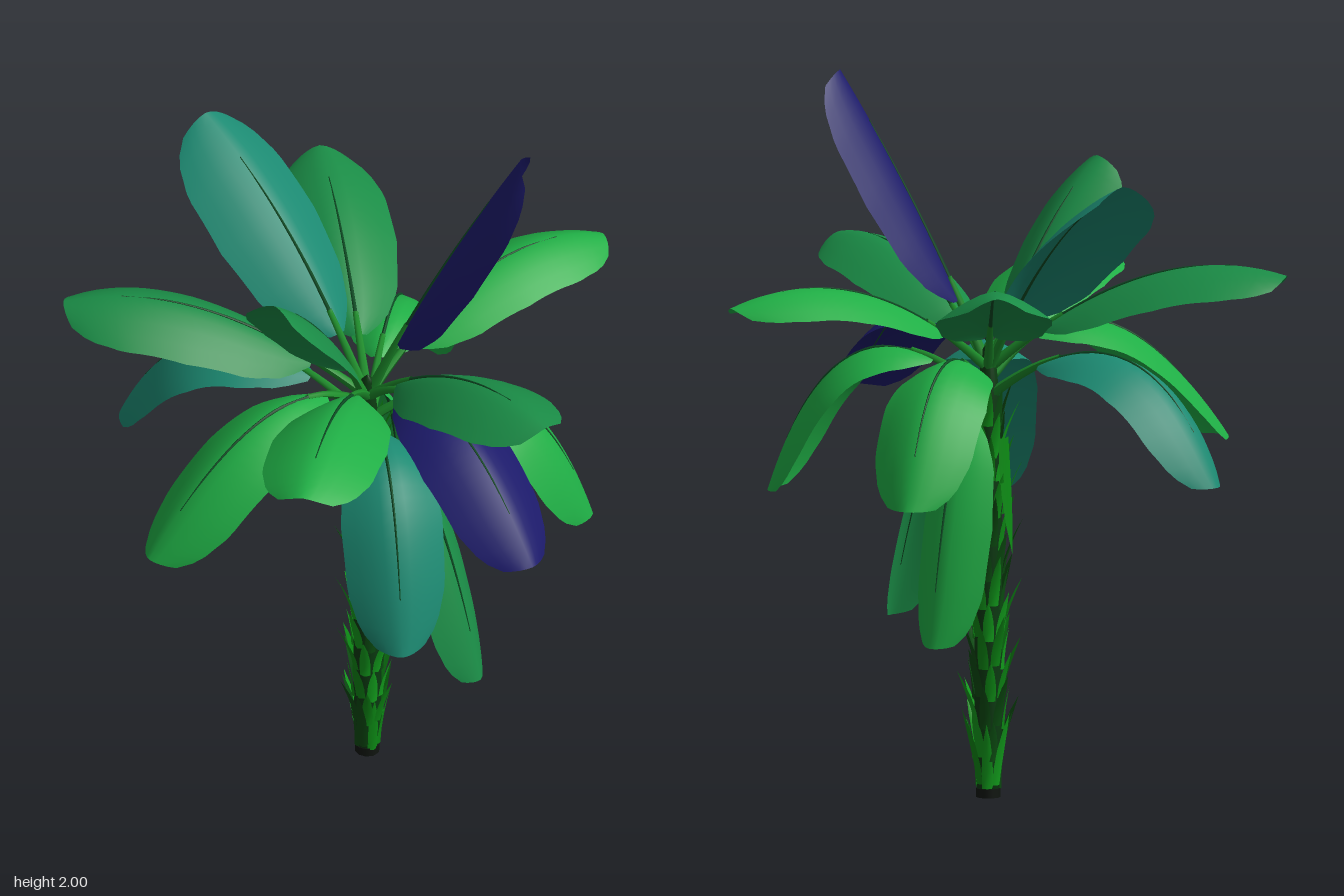
import * as THREE from 'three';

const CX = -0.025, CZ = -0.015; // trunk axis
const UP = new THREE.Vector3(0, 1, 0);
const GREEN = 0x1fae45, MID = 0x1a8c46, TEAL = 0x1c8a72, INDIGO = 0x1c1a6a;

const paint = (color) => new THREE.MeshStandardMaterial({ color, side: THREE.DoubleSide });
const ribPaint = paint(0x0b4a22);
const stalkPaint = paint(0x1c8c2a);
const huskPaints = [paint(0x0c8a14), paint(0x0a4c10), paint(0x12a01c)];
const barkPaint = paint(0x0a3a10);

// Outline of a blade: [position along it, share of the half width]
const OUTLINE = [[0, 0.15], [0.08, 0.55], [0.23, 0.85], [0.5, 1], [0.78, 0.96], [0.93, 0.76], [1, 0.48]];

function widthAt(t) {
  const i = Math.max(1, OUTLINE.findIndex(([at]) => t <= at));
  const [a, wa] = OUTLINE[i - 1], [b, wb] = OUTLINE[i];
  return THREE.MathUtils.mapLinear(t, a, b, wa, wb);
}

function add(group, name, geometry, material) {
  const mesh = new THREE.Mesh(geometry, material);
  mesh.name = name;
  group.add(mesh);
  return mesh;
}

// Arching blade: a plane bent along the curve, with drooping edges
function bladeGeometry(curve, side, halfWidth, from) {
  const geometry = new THREE.PlaneGeometry(2, 1, 8, 20);
  const pos = geometry.attributes.position;
  for (let i = 0; i < pos.count; i++) {
    const u = pos.getX(i), t = THREE.MathUtils.clamp(pos.getY(i) + 0.5, 0, 1);
    const k = from + (1 - from) * t;
    const normal = side.clone().cross(curve.getTangentAt(k));
    const w = halfWidth * widthAt(t);
    // the tip is slightly rounded
    const p = curve.getPointAt(Math.min(1, k - 0.02 * u * u * t));
    p.addScaledVector(side, u * w * 0.97).addScaledVector(normal, -0.5 * w * Math.pow(Math.abs(u), 1.5));
    pos.setXYZ(i, p.x, p.y, p.z);
  }
  geometry.computeVertexNormals();
  return geometry;
}

// Tube whose radius shrinks from r0 to r1 along the curve
function taperedTube(curve, r0, r1) {
  const rings = 20, sides = 6;
  const geometry = new THREE.TubeGeometry(curve, rings, 1, sides);
  const pos = geometry.attributes.position, v = new THREE.Vector3();
  for (let i = 0; i < pos.count; i++) {
    const t = Math.floor(i / (sides + 1)) / rings;
    const c = curve.getPointAt(t);
    v.fromBufferAttribute(pos, i).sub(c).multiplyScalar(r0 + (r1 - r0) * t).add(c);
    pos.setXYZ(i, v.x, v.y, v.z);
  }
  geometry.computeVertexNormals();
  return geometry;
}

// One leaf: stalk running into a midrib, and the blade.
// rise and out place the bend of the arch, sway moves it sideways, twist turns the blade.
function makeLeaf({ tip, rise, out = 0.5, start = 1.2, half = 0.155, from = 0.19, sway = 0, twist = 0, color = GREEN }) {
  const leaf = new THREE.Group();
  leaf.name = 'leaf';
  const end = new THREE.Vector3(...tip);
  const dir = new THREE.Vector3(end.x - CX, 0, end.z - CZ);
  const reach = dir.length();
  dir.normalize();
  const across = dir.clone().cross(UP);
  const base = new THREE.Vector3(CX, start, CZ).addScaledVector(dir, 0.015);
  const bend = new THREE.Vector3(CX, rise, CZ).addScaledVector(dir, reach * out).addScaledVector(across, sway);
  const curve = new THREE.QuadraticBezierCurve3(base, bend, end);
  const side = across.clone().applyAxisAngle(UP, twist);
  add(leaf, 'blade', bladeGeometry(curve, side, half, from), paint(color));
  const part = (a, b) => new THREE.CatmullRomCurve3(
    [0, 0.25, 0.5, 0.75, 1].map((s) => curve.getPointAt(a + (b - a) * s)));
  add(leaf, 'stalk', taperedTube(part(0, from + 0.08), 0.015, 0.008), stalkPaint);
  add(leaf, 'midrib', taperedTube(part(from + 0.06, 0.82), 0.006, 0.0015), ribPaint);
  return leaf;
}

// Pointed husk that hugs the trunk and flares out at the tip
function huskGeometry(length, width, flare) {
  const geometry = new THREE.PlaneGeometry(2, 1, 2, 4);
  const pos = geometry.attributes.position;
  for (let i = 0; i < pos.count; i++) {
    const u = pos.getX(i), t = pos.getY(i) + 0.5;
    const w = width * (1 - t * t) * (0.8 + 0.5 * t);
    pos.setXYZ(i, u * w, t * length, 0.008 * (1 - u * u) * (1 - t) + flare * Math.pow(t, 1.4));
  }
  geometry.computeVertexNormals();
  return geometry;
}

const LEAVES = [
  // upright and rising leaves
  { tip: [0.32, 2.0, 0.22], rise: 1.61, out: 0.42, start: 1.22, half: 0.16, color: INDIGO },
  { tip: [-0.41, 1.73, 0.16], rise: 1.56, out: 0.45, half: 0.145, color: MID },
  { tip: [-0.17, 1.78, -0.67], rise: 1.63, out: 0.45, half: 0.175, color: TEAL },
  // level leaves
  { tip: [0.76, 1.41, -0.1], rise: 1.56, out: 0.55, half: 0.145, sway: -0.05 },
  { tip: [0.14, 1.47, 0.7], rise: 1.55, out: 0.5, half: 0.16, color: MID },
  { tip: [-0.57, 1.42, 0.61], rise: 1.53, out: 0.5, half: 0.165 },
  { tip: [-0.73, 1.47, -0.46], rise: 1.58, out: 0.55, half: 0.165, color: MID },
  { tip: [0.22, 1.5, -0.73], rise: 1.53, out: 0.5, half: 0.165, color: MID },
  // arching leaves
  { tip: [0.08, 1.04, 0.73], rise: 1.53, out: 0.5, half: 0.15, color: INDIGO },
  { tip: [-0.76, 0.95, 0.08], rise: 1.51, out: 0.5, start: 1.17, half: 0.15, sway: -0.06 },
  { tip: [0.49, 0.83, 0.33], rise: 1.46, out: 0.68, start: 1.12, half: 0.15 },
  { tip: [0.41, 0.89, -0.53], rise: 1.48, out: 0.66, start: 1.12, half: 0.15 },
  { tip: [-0.47, 0.92, -0.61], rise: 1.48, out: 0.68, start: 1.12, half: 0.15, color: TEAL },
  { tip: [-0.24, 0.75, 0.575], rise: 1.46, out: 0.75, start: 1.1, half: 0.145, color: TEAL },
  // hanging leaves
  { tip: [0.1, 0.45, 0.4], rise: 1.2, out: 0.55, start: 1.05, half: 0.11, twist: 0.2, color: MID },
  { tip: [0.28, 0.48, -0.37], rise: 1.27, out: 0.57, start: 1.06, half: 0.13, twist: -0.4 },
];

export function createModel() {
  const model = new THREE.Group();
  model.name = 'palmPlant';

  // Trunk core
  const profile = [[0, 0], [0.032, 0], [0.032, 0.06], [0.038, 0.2], [0.038, 0.85], [0.032, 1.1], [0.018, 1.24], [0, 1.26]]
    .map(([r, y]) => new THREE.Vector2(r, y));
  const core = add(model, 'trunkCore', new THREE.LatheGeometry(profile, 12), barkPaint);
  core.position.set(CX, 0, CZ);
  const foot = add(model, 'trunkFoot', new THREE.CylinderGeometry(0.034, 0.034, 0.025, 10), paint(0x101510));
  foot.position.set(CX, 0.0125, CZ);

  // Overlapping husks in staggered rows
  const husks = new THREE.Group();
  husks.name = 'husks';
  husks.position.set(CX, 0, CZ);
  const addHusk = (geometry, angle, y, radius, material) => {
    const pivot = new THREE.Group();
    pivot.name = 'huskPivot';
    pivot.rotation.y = angle;
    const husk = add(pivot, 'husk', geometry, material);
    husk.position.set(0, y, radius);
    husks.add(pivot);
    return husk;
  };
  const rows = 13, perRow = 7;
  for (let row = 0; row < rows; row++) {
    for (let i = 0; i < perRow; i++) {
      const n = (row * 5 + i * 3) % 7; // small repeating variation
      const geometry = huskGeometry(0.11 + 0.007 * n + (row ? 0 : 0.06), 0.018, 0.014 + 0.0075 * n);
      const angle = ((i + row * 0.42) / perRow) * Math.PI * 2;
      const radius = row === 0 ? 0.028 : row > 9 ? 0.03 : 0.036;
      addHusk(geometry, angle, 0.02 + row * 0.083 + 0.003 * n, radius, huskPaints[(n + row) % 3]);
    }
  }
  // Loose husk hanging down behind the trunk
  addHusk(huskGeometry(0.32, 0.03, 0.03), Math.PI + 0.6, 1.0, 0.05, huskPaints[0]).rotation.z = Math.PI;
  model.add(husks);

  // Crown of leaves
  const crown = new THREE.Group();
  crown.name = 'crown';
  LEAVES.forEach((spec) => crown.add(makeLeaf(spec)));
  model.add(crown);
  return model;
}
